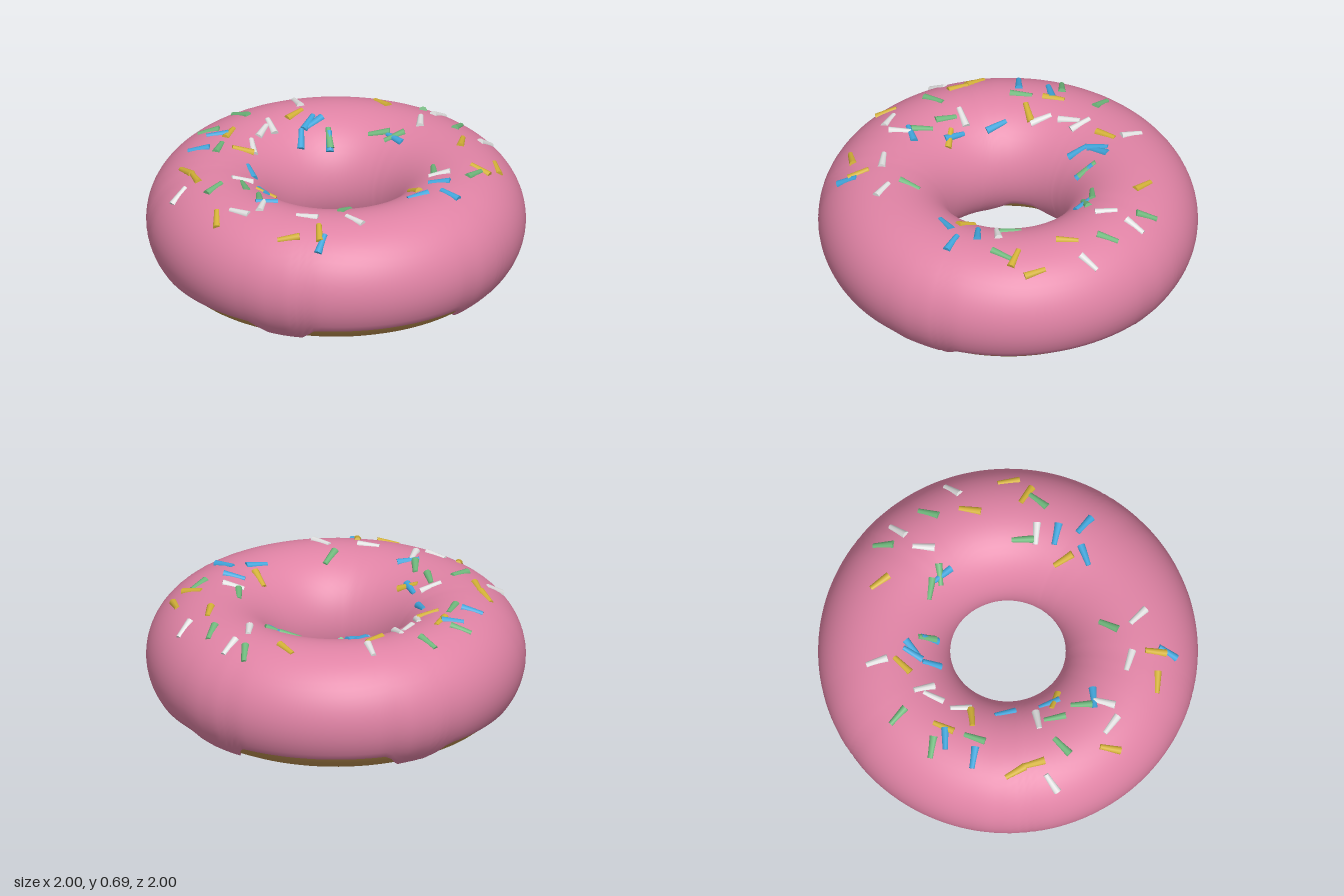
import * as THREE from 'three';

const RING = 0.652, CENTRE_Y = 0.34;      // ring radius and height of the tube centre
const ICE_R = 0.348, ICE_H = 0.342;       // icing tube: horizontal and vertical radius
const DOUGH_R = 0.333, DOUGH_H = 0.329;   // dough tube
const rad = THREE.MathUtils.degToRad;

const paint = (name, color) => {
  const m = new THREE.MeshStandardMaterial({ color });
  m.name = name;
  return m;
};

// Distance in degrees to the closest drip
const nearest = (deg, drips) =>
  Math.min(...drips.map(d => Math.abs(((deg - d + 540) % 360) - 180)));

// Tube angle (0 outward, 90 up, 180 inward) where the icing stops, with drips
function outerEdge(deg) {
  const d = nearest(deg, [354, 66, 137, 198, 269]);
  return -34 - 33 * (1 - THREE.MathUtils.smoothstep(d, 2.5, 12));
}
function innerEdge(deg) {
  const d = nearest(deg, [348, 52, 121, 195, 268]);
  return 209 + 34 * Math.pow(Math.max(0, 1 - d / 28), 1.3);
}

// Icing shell: cross-sections around the ring, rims rounded down into the dough
function icingGeometry(around = 144, across = 40) {
  const pos = [], index = [];
  const row = across + 1;
  for (let i = 0; i < around; i++) {
    const deg = i * 360 / around, t = rad(deg);
    const from = outerEdge(deg), to = innerEdge(deg);
    for (let j = 0; j <= across; j++) {
      // first and last rows tuck under the rim
      const k = THREE.MathUtils.clamp((j - 1) / (across - 2), 0, 1);
      const phi = rad(THREE.MathUtils.lerp(from, to, k));
      const tuck = j === 0 || j === across;
      const r = RING + Math.cos(phi) * (tuck ? DOUGH_R - 0.012 : ICE_R);
      const y = CENTRE_Y + Math.sin(phi) * (tuck ? DOUGH_H - 0.012 : ICE_H);
      pos.push(Math.cos(t) * r, y, Math.sin(t) * r);
      if (j < across) {
        const a = i * row + j, b = ((i + 1) % around) * row + j;
        index.push(a, a + 1, b, b, a + 1, b + 1);
      }
    }
  }
  const g = new THREE.BufferGeometry();
  g.setAttribute('position', new THREE.Float32BufferAttribute(pos, 3));
  g.setIndex(index);
  g.computeVertexNormals();
  return g;
}

// Sprinkles per colour: x and z in hundredths, heading in degrees
const SPRINKLES = {
  green: [0x6fb87c, [
    -11, -81, 50, 18, -76, 65, -11, -46, -35, -2, -48, -50, 63, -39, 85, 42, -30, 45, -31, -29, 40,
    -75, -8, 0, -75, 17, -35, -56, 30, 65, 39, 36, 75, -18, 52, 35, -27, 66, 90, -3, 57, 45]],
  white: [0xe2e2e2, [
    0, -81, 85, 37, -77, 85, 2, -64, 50, -61, -37, 30, 49, -27, -40, -54, -9, 28, -54, -2, 70,
    -48, 12, 40, -25, 46, -55, 53, 44, 0, 32, 58, -28, 6, 65, 60, 0, 76, -8, -44, 75, 95]],
  yellow: [0xd4b238, [
    -28, -67, 10, 34, -61, 55, 61, -59, 35, 61, -46, -12, -53, -26, 90, 49, -7, 20, -63, 14, 70,
    -48, 20, -50, -10, 44, -25, -54, 58, 18, -44, 62, 30, 46, 64, 45, 35, 76, -42, -9, 84, 48]],
  blue: [0x41a6dc, [
    -1, -47, 5, -44, -27, 75, -42, -29, -85, -40, -17, 50, -30, -28, 45, 56, -19, -32, 70, -12, -5,
    58, 0, -65, -67, 19, -45, -64, 37, -35, -33, 30, 30, -13, 43, 25, 4, 59, -50, 51, 68, 70]],
};

// Lay a sprinkle on the icing, following its slope
function placeSprinkle(mesh, x, z, heading) {
  const r = Math.hypot(x, z);
  const c = THREE.MathUtils.clamp((r - RING) / ICE_R, -0.97, 0.97);
  const s = Math.sqrt(1 - c * c);
  const n = new THREE.Vector3(c * x / r / ICE_R, s / ICE_H, c * z / r / ICE_R).normalize();
  const dir = new THREE.Vector3(Math.cos(heading), 0, Math.sin(heading));
  dir.y = -(dir.x * n.x + dir.z * n.z) / n.y;
  mesh.position.set(x, CENTRE_Y + s * ICE_H, z).addScaledVector(n, -0.007);
  mesh.quaternion.setFromUnitVectors(new THREE.Vector3(0, 1, 0), dir.normalize());
}

export function createModel() {
  const model = new THREE.Group();
  model.name = 'doughnut';

  // Dough ring
  const doughGeo = new THREE.TorusGeometry(RING, DOUGH_R, 32, 96);
  doughGeo.rotateX(-Math.PI / 2).scale(1, DOUGH_H / DOUGH_R, 1);
  const dough = new THREE.Mesh(doughGeo, paint('dough', 0xb88c4e));
  dough.name = 'dough';
  dough.position.y = CENTRE_Y;
  model.add(dough);

  // Icing with drips
  const icing = new THREE.Mesh(icingGeometry(), paint('pink icing', 0xe083a5));
  icing.name = 'icing';
  model.add(icing);

  // Tapered sprinkles
  const sprinkleGeo = new THREE.CylinderGeometry(0.022, 0.015, 0.118, 10);
  for (const [name, [color, list]] of Object.entries(SPRINKLES)) {
    const group = new THREE.Group();
    group.name = name + 'Sprinkles';
    const material = paint(name + ' sprinkle', color);
    for (let i = 0; i < list.length; i += 3) {
      const sprinkle = new THREE.Mesh(sprinkleGeo, material);
      sprinkle.name = 'sprinkle';
      placeSprinkle(sprinkle, list[i] / 100, list[i + 1] / 100, rad(list[i + 2]));
      group.add(sprinkle);
    }
    model.add(group);
  }
  return model;
}
